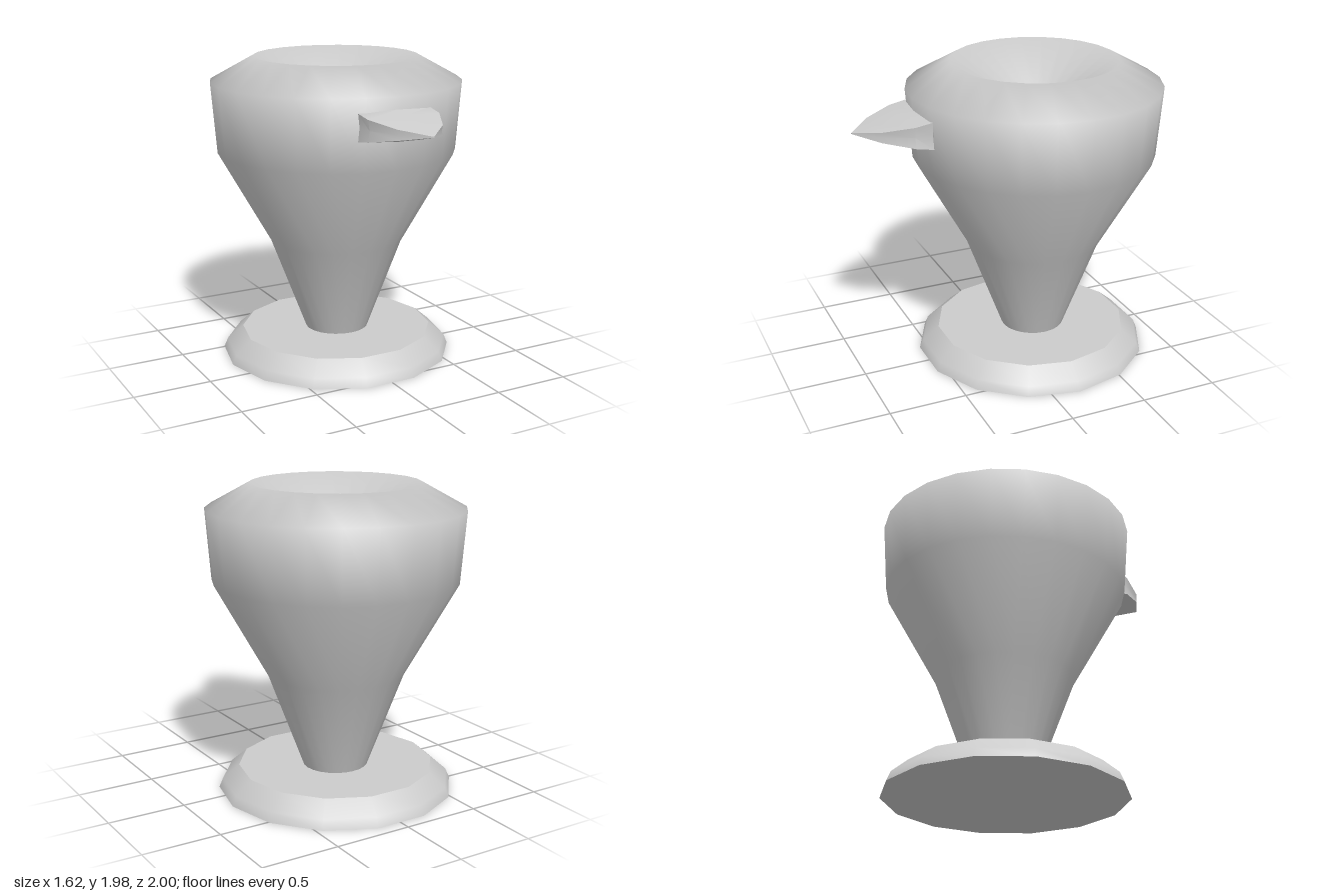
import * as THREE from 'three';
import { toCreasedNormals } from 'three/addons/utils/BufferGeometryUtils.js';

const grey = () => new THREE.MeshStandardMaterial({ color: 0xcccccc, side: THREE.DoubleSide });

function part(name, geometry, x, y, z) {
  const mesh = new THREE.Mesh(geometry, grey());
  mesh.name = name;
  mesh.position.set(x, y, z);
  return mesh;
}

// Surface of revolution from [radius, height] pairs
function turned(profile, sides, start = 0) {
  return new THREE.LatheGeometry(profile.map(([r, y]) => new THREE.Vector2(r, y)), sides, start);
}

// Flat disc facing up or down
function disc(radius, sides, up, start = 0) {
  const g = new THREE.CircleGeometry(radius, sides, start);
  return g.rotateX(up ? -Math.PI / 2 : Math.PI / 2);
}

// Pointed spout lofted from [half width, half height, z, forward bow of the middle]
function spoutGeometry() {
  const sections = [
    [0.245, 0.085, 0.57, 0.04],
    [0.24, 0.066, 0.68, 0.02],
    [0.15, 0.032, 0.86, 0.01],
    [0.003, 0.003, 1.0, 0],
  ];
  const pos = [], index = [], n = 8;
  for (const [w, h, z, bow] of sections) {
    const m = h * 1.15, side = w * 0.96;
    for (const [x, y] of [[w, h], [0, m], [-w, h], [-side, 0], [-w, -h], [0, -m], [w, -h], [side, 0]])
      pos.push(x, y, x === 0 ? z + bow : z);
  }
  for (let s = 0; s < sections.length - 1; s++)
    for (let i = 0; i < n; i++) {
      const a = s * n + i, b = s * n + (i + 1) % n;
      index.push(a, b, b + n, a, b + n, a + n);
    }
  // Back and tip caps
  const last = (sections.length - 1) * n;
  for (let i = 1; i < n - 1; i++) {
    index.push(0, i + 1, i);
    index.push(last, last + i, last + i + 1);
  }
  const g = new THREE.BufferGeometry();
  g.setAttribute('position', new THREE.Float32BufferAttribute(pos, 3));
  g.setIndex(index);
  return toCreasedNormals(g, 0.5);
}

export function createModel() {
  const model = new THREE.Group();
  const axisZ = -0.19;

  // Tapered body with a conical bowl sunk into its top
  const body = [[0.205, 0.14], [0.44, 0.77], [0.775, 1.37], [0.81, 1.82], [0.53, 1.975], [0.18, 1.74]];
  model.add(part('body', turned(body, 24), 0, 0, axisZ));
  model.add(part('bowlFloor', disc(0.18, 24, true), 0, 1.74, axisZ));

  // Low round foot with a bevelled edge
  const start = Math.PI / 2, sides = 14;
  const foot = new THREE.Group();
  foot.name = 'foot';
  foot.position.set(-0.01, 0, -0.18);
  foot.add(part('footRim', turned([[0.76, 0], [0.735, 0.06], [0.63, 0.15]], sides, start), 0, 0, 0));
  foot.add(part('footTop', disc(0.63, sides, true), 0, 0.15, 0));
  foot.add(part('footBottom', disc(0.76, sides, false), 0, 0, 0));
  model.add(foot);

  // Pointed spout on the front
  model.add(part('spout', spoutGeometry(), -0.01, 1.65, 0));
  return model;
}
